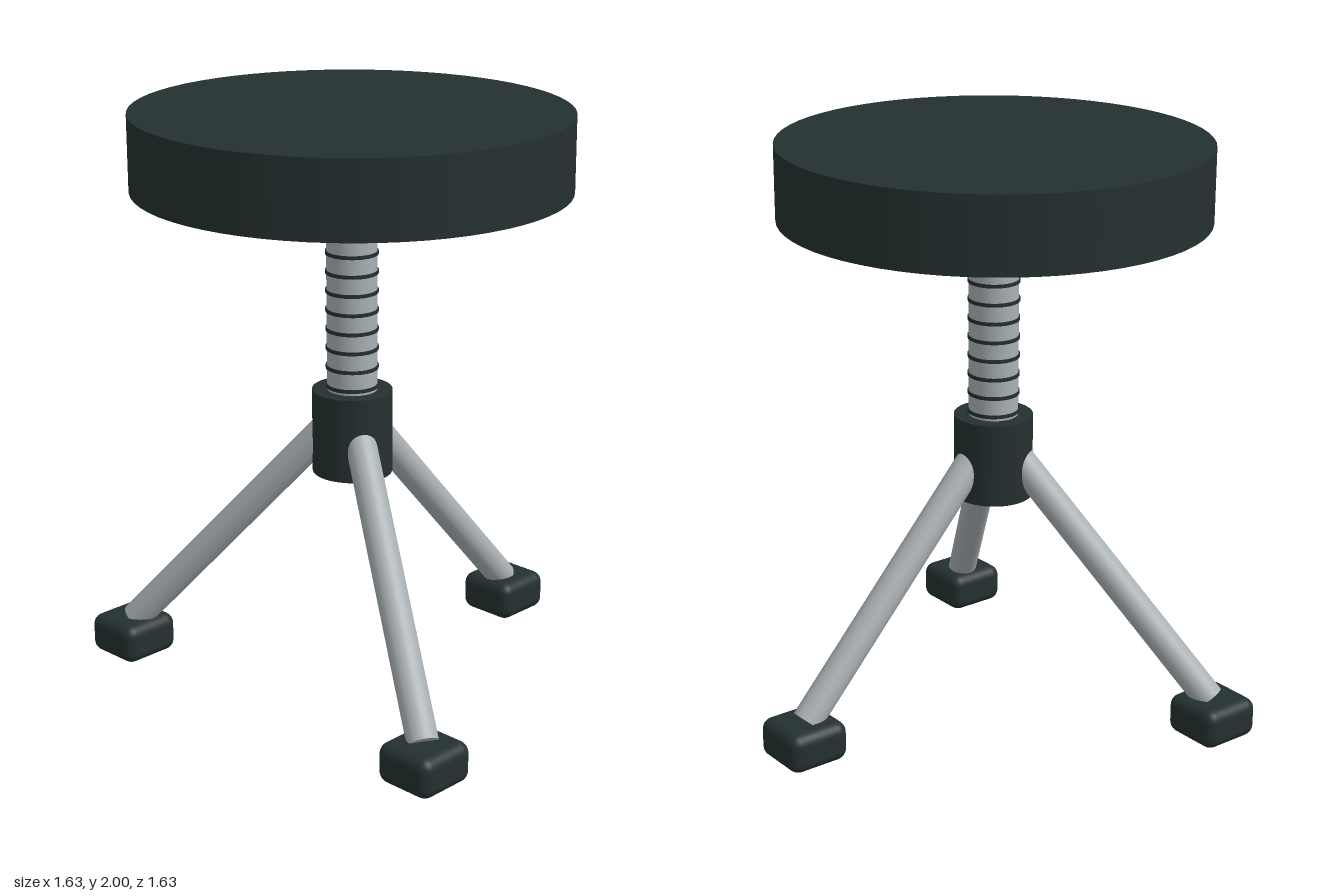
import * as THREE from 'three';
import { RoundedBoxGeometry } from 'three/addons/geometries/RoundedBoxGeometry.js';

export function createModel() {
  const model = new THREE.Group();
  model.name = 'stool';

  const dark = new THREE.MeshStandardMaterial({ color: 0x243030 });
  dark.name = 'dark green grey';
  const metal = new THREE.MeshStandardMaterial({ color: 0xa9b0b4 });
  metal.name = 'light grey metal';

  const AXIS_X = -0.1; // the seat's axis
  const STRETCH_Z = 1.018; // the round parts are slightly wider in z

  function add(name, geometry, material) {
    const mesh = new THREE.Mesh(geometry, material);
    mesh.name = name;
    model.add(mesh);
    return mesh;
  }

  // Upright disc or column between two heights
  function upright(name, radius, y0, y1, material, sides = 64) {
    const mesh = add(name, new THREE.CylinderGeometry(radius, radius, y1 - y0, sides), material);
    mesh.position.set(AXIS_X, (y0 + y1) / 2, 0);
    mesh.scale.z = STRETCH_Z;
    return mesh;
  }

  // Seat, its mounting plate, the screw and the hub
  upright('seat', 0.717, 1.745, 2, dark);
  upright('seatPlate', 0.432, 1.69, 1.75, dark);
  upright('screwColumn', 0.084, 0.95, 1.7, metal, 32);
  upright('hub', 0.134, 0.765, 1.055, dark, 48);

  // Thread rings around the screw
  for (let i = 0; i < 10; i++) {
    const y = 1.07 + i * 0.0655;
    upright('threadRing', 0.088, y - 0.006, y + 0.006, dark, 32);
  }

  // Three splayed legs, each ending in a rounded foot
  for (let i = 0; i < 3; i++) {
    const angle = (i * Math.PI * 2) / 3;
    const at = (reach, y) => new THREE.Vector3(
      AXIS_X + Math.cos(angle) * reach, y, Math.sin(angle) * reach * STRETCH_Z);
    const top = at(0.06, 0.94);
    const bottom = at(0.79, 0.13);
    const along = bottom.clone().sub(top);

    const leg = add('leg', new THREE.CylinderGeometry(0.052, 0.052, along.length(), 24), metal);
    leg.position.copy(top).add(bottom).multiplyScalar(0.5);
    leg.quaternion.setFromUnitVectors(new THREE.Vector3(0, -1, 0), along.normalize());

    const foot = add('foot', new RoundedBoxGeometry(0.224, 0.14, 0.22, 4, 0.04), dark);
    foot.position.copy(at(0.802, 0.07));
  }

  return model;
}
